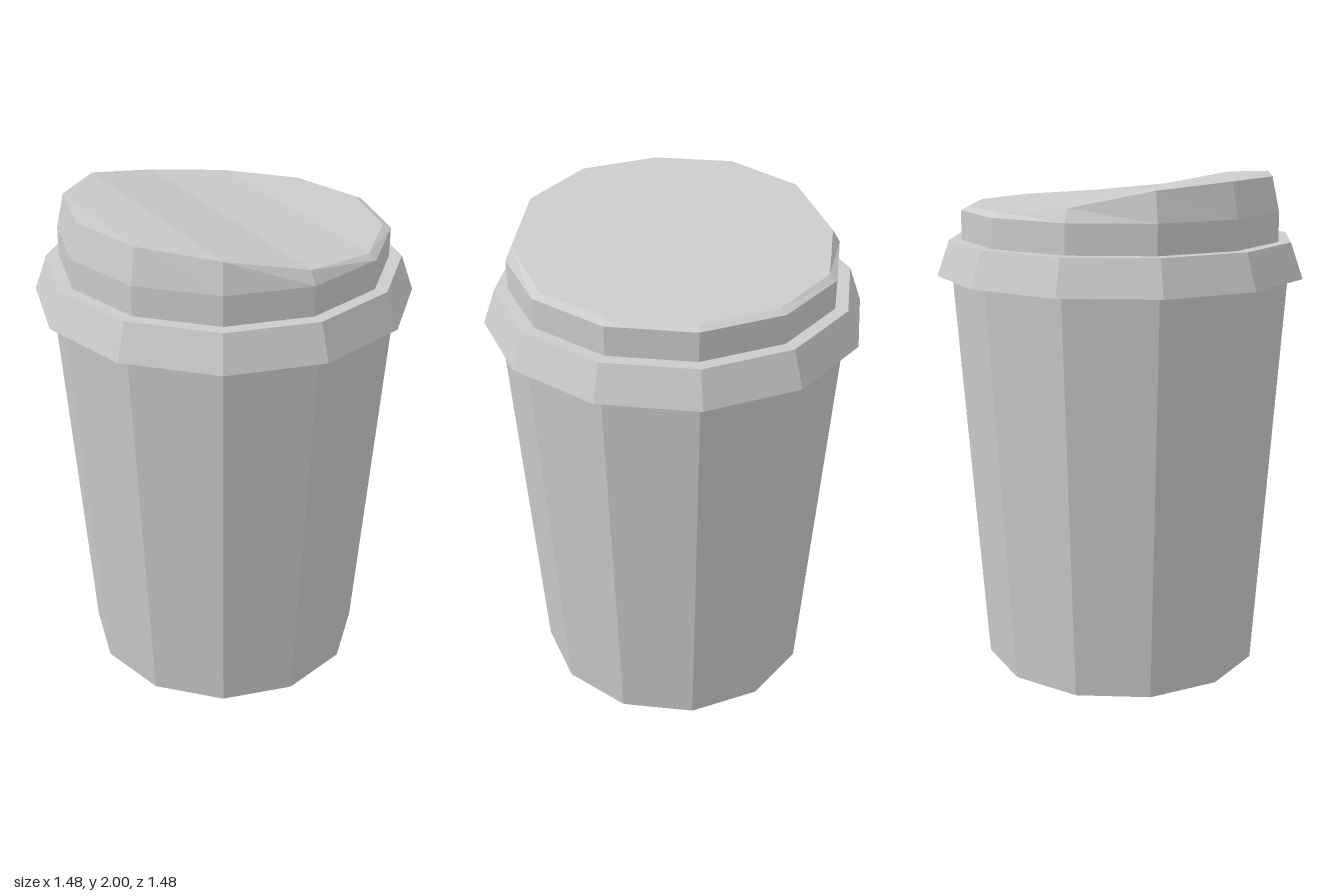
import * as THREE from 'three';

const SIDES = 12;
const material = new THREE.MeshStandardMaterial({ color: 0xcccccc, flatShading: true });

// Faceted solid of revolution; the profile runs [radius, height]
function turned(name, profile) {
  const points = profile.map(([r, y]) => new THREE.Vector2(r, y));
  const geometry = new THREE.LatheGeometry(points, SIDES).toNonIndexed();
  geometry.computeVertexNormals();
  const mesh = new THREE.Mesh(geometry, material);
  mesh.name = name;
  return mesh;
}

// Sloping lid top: bevelled wall plus a cap of strips running across z
function lidTop() {
  const heights = [1.88, 1.88, 1.885, 1.915, 1.978, 2, 2]; // from +x to -x
  const positions = [];
  const ring = (k, r, y) => {
    const a = (k / SIDES) * Math.PI * 2;
    return [r * Math.cos(a), y, r * Math.sin(a)];
  };
  const base = (k) => ring(k, 0.64, 1.865);
  const edge = (k) => ring(k, 0.61, heights[Math.min(k % SIDES, SIDES - (k % SIDES))]);
  const tri = (...corners) => corners.forEach((c) => positions.push(...c));

  for (let k = 0; k < SIDES; k++) {
    tri(base(k), edge(k), edge(k + 1));
    tri(base(k), edge(k + 1), base(k + 1));
  }
  for (let k = 0; k < SIDES / 2; k++) {
    const a = edge(k), b = edge(SIDES - k), c = edge(SIDES - k - 1), d = edge(k + 1);
    if (k > 0) tri(a, b, c);
    if (k < SIDES / 2 - 1) tri(a, c, d);
  }

  const geometry = new THREE.BufferGeometry();
  geometry.setAttribute('position', new THREE.Float32BufferAttribute(positions, 3));
  geometry.computeVertexNormals();
  const mesh = new THREE.Mesh(geometry, material);
  mesh.name = 'lidTop';
  return mesh;
}

export function createModel() {
  const model = new THREE.Group();
  model.name = 'lidded cup';

  // Tapered cup with a recessed base
  model.add(turned('cup', [[0, 0.09], [0.52, 0.09], [0.57, 0], [0.687, 1.7]]));

  const lid = new THREE.Group();
  lid.name = 'lid';
  // Flared skirt, hollow underneath, with a flat ledge
  lid.add(turned('lidSkirt', [[0.687, 1.7], [0.74, 1.61], [0.69, 1.75], [0.64, 1.75]]));
  // Upright collar
  lid.add(turned('lidCollar', [[0.64, 1.75], [0.64, 1.865]]));
  lid.add(lidTop());
  model.add(lid);

  return model;
}
